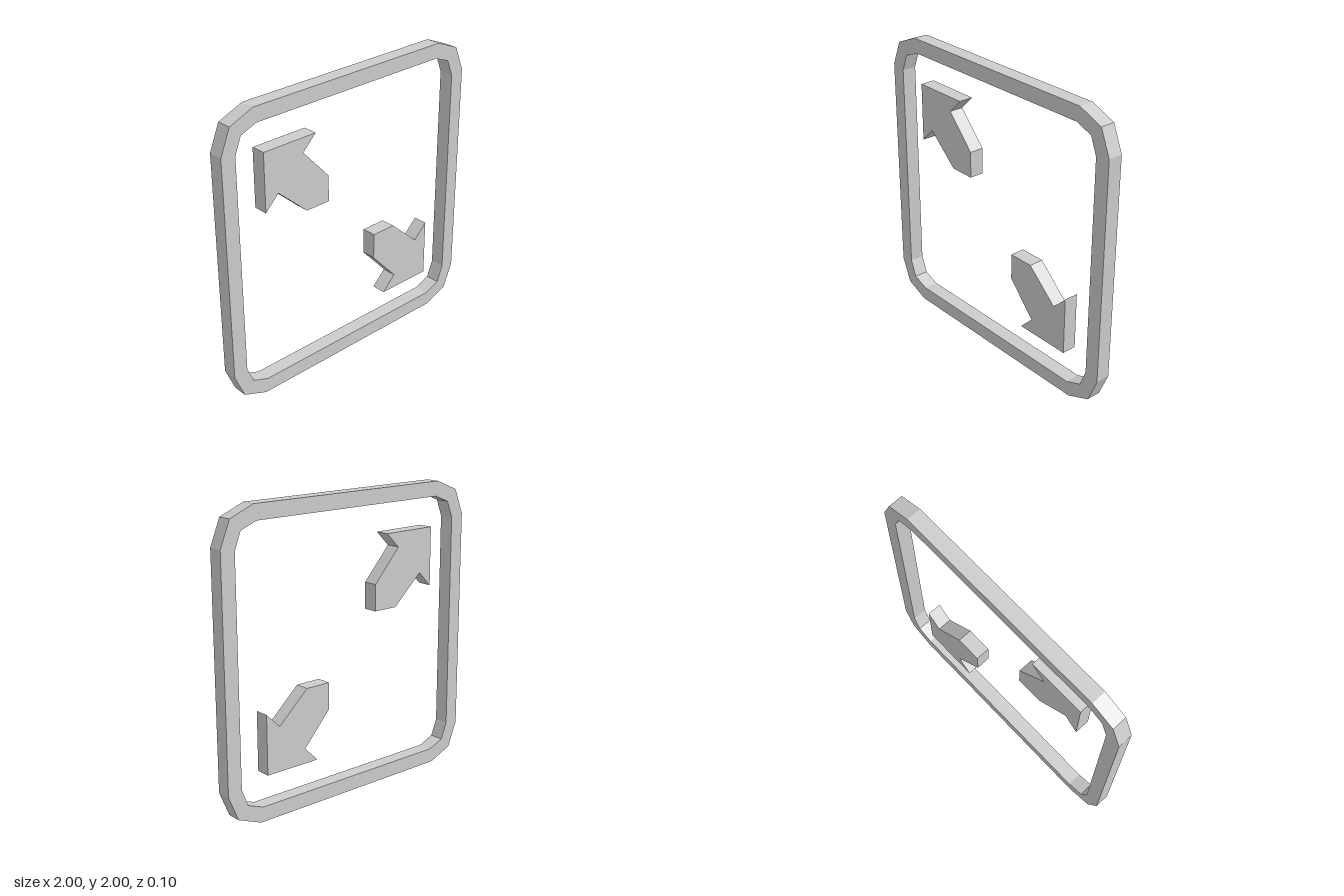
import * as THREE from 'three';

const DEPTH = 0.1;
const material = new THREE.MeshStandardMaterial({ color: 0xcccccc, flatShading: true });

const toPoints = (pairs) => pairs.map(([x, y]) => new THREE.Vector2(x, y));

// Square outline with two-step chamfered corners, made by turning one corner
function chamferedSquare(corner) {
  const points = [];
  for (let i = 0; i < 4; i++) {
    for (const p of toPoints(corner)) {
      points.push(p.rotateAround(new THREE.Vector2(), i * Math.PI / 2));
    }
  }
  return points;
}

// Plate centred on z = 0
function plate(name, shape) {
  const geometry = new THREE.ExtrudeGeometry(shape, { depth: DEPTH, bevelEnabled: false });
  geometry.translate(0, 0, -DEPTH / 2);
  const mesh = new THREE.Mesh(geometry, material);
  mesh.name = name;
  return mesh;
}

export function createModel() {
  const model = new THREE.Group();
  model.name = 'expandIcon';

  // Border frame
  const border = new THREE.Shape(chamferedSquare([[1, 0.76], [0.93, 0.93], [0.76, 1]]));
  border.holes.push(new THREE.Path(chamferedSquare([[0.9, 0.74], [0.855, 0.855], [0.74, 0.9]])));
  model.add(plate('borderFrame', border));

  // Two arrows pointing to opposite corners
  const arrow = new THREE.Shape(toPoints([
    [-0.7, 0.7], [-0.7, 0.3], [-0.6, 0.4], [-0.38, 0.2],
    [-0.2, 0.2], [-0.2, 0.38], [-0.4, 0.6], [-0.3, 0.7],
  ]));
  const upperArrow = plate('upperArrow', arrow);
  const lowerArrow = plate('lowerArrow', arrow);
  lowerArrow.rotation.z = Math.PI;
  model.add(upperArrow, lowerArrow);

  // Stand the parts on y = 0
  for (const part of model.children) part.position.y = 1;
  return model;
}
